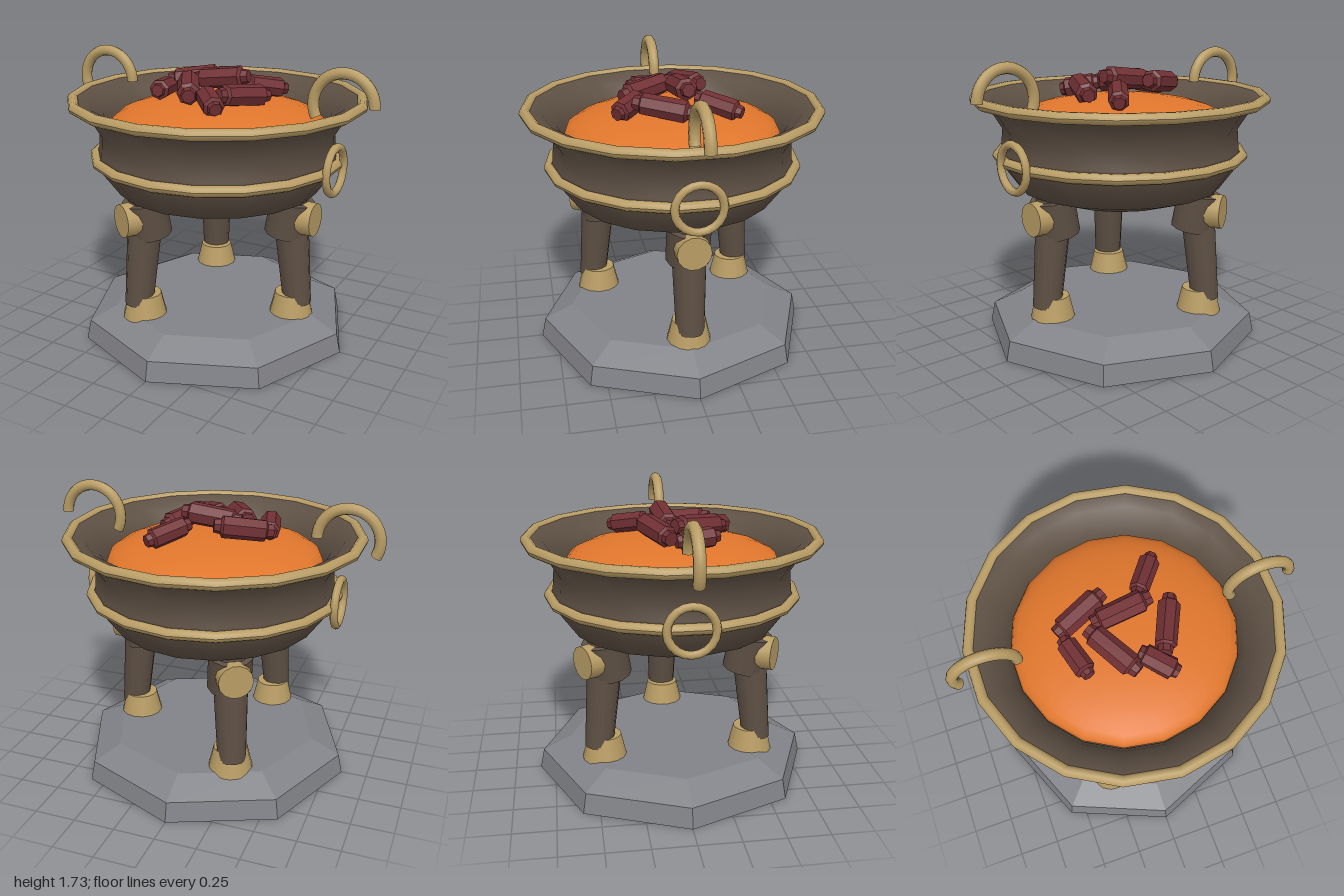
import * as THREE from 'three';

const mat = (name, color, extra = {}) => {
  const m = new THREE.MeshStandardMaterial({ color, ...extra });
  m.name = name;
  return m;
};

export function createModel() {
  const bronze = mat('dark bronze', 0x5e5044);
  const gold = mat('pale gold', 0xb89c64, { side: THREE.DoubleSide });
  const stone = mat('grey stone', 0x828388, { flatShading: true });
  const ember = mat('glowing ember', 0xe0762c);
  const char = mat('charred red', 0x713034, { flatShading: true });

  const model = new THREE.Group();
  model.name = 'brazier';
  const add = (name, geometry, material, parent = model) => {
    const mesh = new THREE.Mesh(geometry, material);
    mesh.name = name;
    parent.add(mesh);
    return mesh;
  };
  const lathe = (points, segments) =>
    new THREE.LatheGeometry(points.map(([r, y]) => new THREE.Vector2(r, y)), segments);
  const UP = new THREE.Vector3(0, 1, 0);

  // Tapered cylinder from point a to point b
  const limb = (name, a, b, ra, rb, sides, material, parent) => {
    const p = new THREE.Vector3(...a), q = new THREE.Vector3(...b);
    const dir = q.clone().sub(p);
    const mesh = add(name, new THREE.CylinderGeometry(rb, ra, dir.length(), sides), material, parent);
    mesh.position.copy(p).add(q).multiplyScalar(0.5);
    mesh.quaternion.setFromUnitVectors(UP, dir.normalize());
    return mesh;
  };

  // Octagonal stone plinth with a bevelled top
  add('plinth', new THREE.CylinderGeometry(0.82, 0.845, 0.12, 8), stone).position.y = 0.06;
  add('plinthBevel', new THREE.CylinderGeometry(0.645, 0.82, 0.085, 8), stone).position.y = 0.1625;

  // Three legs, built along +x and turned about the centre
  for (let i = 0; i < 3; i++) {
    const leg = new THREE.Group();
    leg.name = 'leg' + (i + 1);
    leg.rotation.y = (i * Math.PI * 2) / 3;
    model.add(leg);
    limb('foot', [0.515, 0.185, 0], [0.515, 0.335, 0], 0.135, 0.1, 14, gold, leg);
    limb('shin', [0.555, 0.27, 0], [0.485, 0.93, 0], 0.085, 0.108, 12, bronze, leg);
    limb('haunch', [0.465, 0.71, 0], [0.505, 0.93, 0], 0.13, 0.13, 12, bronze, leg);
    limb('kneeBoss', [0.46, 0.822, 0], [0.652, 0.822, 0], 0.104, 0.1, 14, gold, leg);
  }

  // Bowl: outer wall up to the lip, then the inner wall back down
  add('bowl', lathe([
    [0, 0.825], [0.2, 0.832], [0.4, 0.868], [0.61, 0.94], [0.74, 1.12], [0.715, 1.18],
    [0.705, 1.3], [0.79, 1.44], [0.865, 1.475], [0.855, 1.5], [0.76, 1.465], [0.68, 1.39],
    [0.645, 1.31], [0.62, 1.2], [0, 1.15],
  ], 18), bronze);

  // Gold hoops around the bowl
  const hoop = (name, radius, tube, y) => {
    const profile = [];
    for (let i = 0; i <= 10; i++) {
      const a = (i / 10) * Math.PI * 2;
      profile.push([radius + tube * Math.cos(a), y + tube * Math.sin(a)]);
    }
    add(name, lathe(profile, 18), gold);
  };
  hoop('rimHoop', 0.857, 0.032, 1.478);
  hoop('waistHoop', 0.737, 0.031, 1.14);

  // Hooked handles on the rim and hanging rings on the sides
  for (const [side, s] of [['left', 1], ['right', -1]]) {
    const handle = add(side + 'Handle',
      new THREE.TorusGeometry(0.178, 0.033, 10, 24, Math.PI * 1.15), gold);
    handle.position.set(s * 0.787, 1.517, 0);
    const ring = add(side + 'Ring', new THREE.TorusGeometry(0.134, 0.024, 8, 20), gold);
    ring.rotation.y = Math.PI / 2;
    ring.position.set(s * 0.757, 1.14, 0);
  }

  // Domed bed of embers
  const bed = add('emberBed',
    new THREE.SphereGeometry(0.645, 18, 8, 0, Math.PI * 2, 0, Math.PI / 2), ember);
  bed.scale.y = 0.25;
  bed.position.y = 1.325;
  bed.rotation.y = Math.PI / 18;

  // Charred logs: x, y, z, direction, length, radius
  const logs = [
    [0.2, 1.525, -0.235, [0.6, -0.2, -0.8], 0.29, 0.055],
    [-0.215, 1.56, -0.12, [0.9, 0.12, -0.38], 0.34, 0.06],
    [0.0, 1.59, -0.05, [1, 0.12, -0.08], 0.35, 0.06],
    [-0.31, 1.525, 0.1, [0.25, 0.05, 0.95], 0.26, 0.055],
    [-0.115, 1.555, 0.14, [0.5, -0.1, 0.85], 0.36, 0.062],
    [0.215, 1.53, 0.085, [0.42, -0.12, -0.9], 0.36, 0.06],
    [0.1, 1.52, 0.27, [0.7, -0.2, 0.7], 0.24, 0.058],
  ];
  logs.forEach(([x, y, z, dir, length, r], i) => {
    const h = length / 2;
    const log = add('log' + (i + 1), lathe([
      [0, -h], [r * 0.7, -h], [r * 0.75, -h * 0.78], [r * 1.05, -h * 0.72],
      [r * 1.1, h * 0.7], [r * 0.75, h * 0.78], [r * 0.65, h], [0, h],
    ], 7), char);
    log.position.set(x, y, z);
    log.quaternion.setFromUnitVectors(UP, new THREE.Vector3(...dir).normalize());
    log.rotateY(i * 1.3);
  });

  return model;
}
